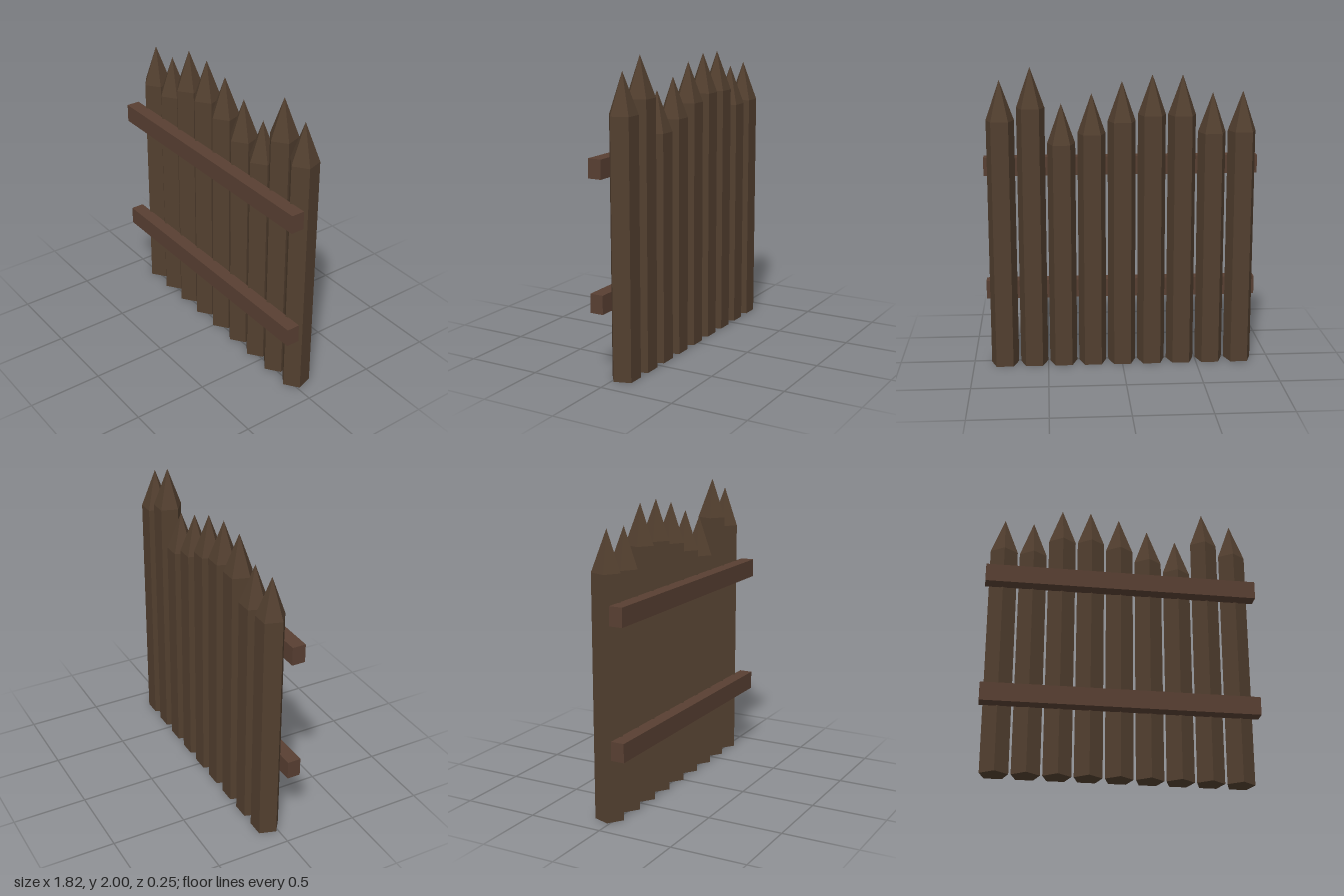
import * as THREE from 'three';

export function createModel() {
  const group = new THREE.Group();
  group.name = 'palisadeFence';

  const stakeWood = new THREE.MeshStandardMaterial({ color: 0x523f2f, flatShading: true });
  stakeWood.name = 'stake wood';
  const railWood = new THREE.MeshStandardMaterial({ color: 0x583f32, flatShading: true });
  railWood.name = 'rail wood';

  const radius = 0.0965, tipHeight = 0.263, spacing = 0.198, stakeZ = -0.046;
  const tops = [1.838, 1.829, 1.946, 1.949, 1.907, 1.829, 1.764, 2.0, 1.919];

  // Five-sided stakes, each with a sharpened tip, one edge facing forward
  tops.forEach((top, i) => {
    const shoulder = top - tipHeight;
    const stake = new THREE.Group();
    stake.name = `stake${i + 1}`;
    stake.position.set((i - 4) * spacing, 0, stakeZ);

    const shaftGeo = new THREE.CylinderGeometry(radius, radius, shoulder, 5);
    const shaft = new THREE.Mesh(shaftGeo, stakeWood);
    shaft.name = 'shaft';
    shaft.position.y = shoulder / 2;

    const tip = new THREE.Mesh(new THREE.ConeGeometry(radius, tipHeight, 5, 1, true), stakeWood);
    tip.name = 'tip';
    tip.position.y = shoulder + tipHeight / 2;

    stake.add(shaft, tip);
    group.add(stake);
  });

  // Two horizontal rails across the front
  [['lowerRail', 0.493], ['upperRail', 1.337]].forEach(([name, y]) => {
    const rail = new THREE.Mesh(new THREE.BoxGeometry(1.82, 0.123, 0.09), railWood);
    rail.name = name;
    rail.position.set(0, y, 0.083);
    group.add(rail);
  });

  return group;
}
